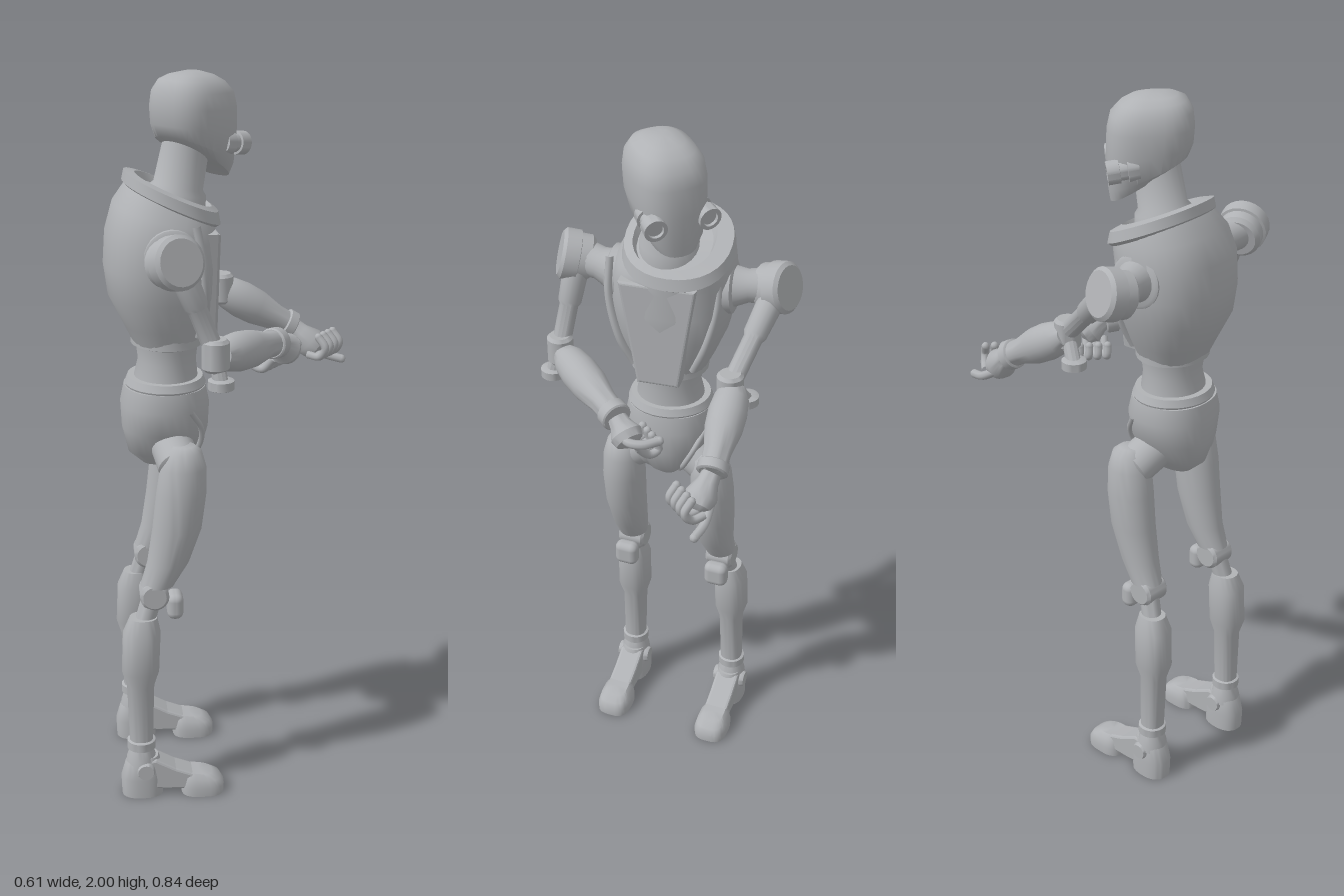
import * as THREE from 'three';
import { toCreasedNormals } from 'three/addons/utils/BufferGeometryUtils.js';
import { RoundedBoxGeometry } from 'three/addons/geometries/RoundedBoxGeometry.js';

const grey = new THREE.MeshStandardMaterial({ color: 0xb0b2b5 });
grey.name = 'grey metal';
const V = (p) => new THREE.Vector3(...p);

function add(parent, name, geo) {
  const mesh = new THREE.Mesh(geo, grey);
  mesh.name = name;
  parent.add(mesh);
  return mesh;
}

function addGroup(parent, name) {
  const group = new THREE.Group();
  group.name = name;
  parent.add(group);
  return group;
}

// Closed skin over superelliptic rings [y, cx, cz, halfWidth, halfDepth, tilt], bottom to top
function loft(parent, name, rings, power = 2, seg = 32) {
  const first = rings[0], last = rings[rings.length - 1];
  const close = (r) => [r[0], r[1], r[2], 0.0005, 0.0005, 0];
  const all = [close(first), ...rings, close(last)];
  const pos = [], idx = [];
  const pw = (v) => Math.sign(v) * Math.abs(v) ** (2 / power);
  for (const [y, cx, cz, a, b, tilt = 0] of all)
    for (let i = 0; i <= seg; i++) {
      const t = (i % seg) / seg * Math.PI * 2;
      const s = pw(Math.sin(t)), c = pw(Math.cos(t));
      pos.push(cx + a * s, y + tilt * c, cz + b * c);
    }
  for (let r = 0; r < all.length - 1; r++)
    for (let i = 0; i < seg; i++) {
      const a = r * (seg + 1) + i, d = a + seg + 1;
      idx.push(a, a + 1, d, a + 1, d + 1, d);
    }
  const geo = new THREE.BufferGeometry();
  geo.setAttribute('position', new THREE.Float32BufferAttribute(pos, 3));
  geo.setIndex(idx);
  return add(parent, name, toCreasedNormals(geo, 0.7));
}

// Turned part from point a to point b, profile [fraction, radius]
function limb(parent, name, a, b, profile, seg = 24) {
  const A = V(a), dir = V(b).sub(A), len = dir.length();
  const pts = profile.map(([t, r]) => new THREE.Vector2(r, t * len));
  pts.unshift(new THREE.Vector2(0, pts[0].y));
  pts.push(new THREE.Vector2(0, pts[pts.length - 1].y));
  const mesh = add(parent, name, toCreasedNormals(new THREE.LatheGeometry(pts, seg), 0.7));
  mesh.position.copy(A);
  mesh.quaternion.setFromUnitVectors(new THREE.Vector3(0, 1, 0), dir.normalize());
  return mesh;
}
const drum = (r, bevel = 0.008) => [[0, r - bevel], [0.1, r], [0.9, r], [1, r - bevel]];

function tube(parent, name, points, r) {
  const curve = new THREE.CatmullRomCurve3(points.map(V));
  return add(parent, name, new THREE.TubeGeometry(curve, 16, r, 8));
}

function finger(parent, name, points, r) {
  tube(parent, name, points, r);
  add(parent, name + 'Tip', new THREE.SphereGeometry(r, 8, 6)).position.copy(V(points[points.length - 1]));
}

function buildTorso(body) {
  // Back bulges out below the collar, front stays nearly upright
  loft(body, 'torso', [
    [1.29, 0, -0.008, 0.1, 0.088], [1.34, 0.003, -0.012, 0.122, 0.108], [1.42, 0.006, -0.02, 0.153, 0.14],
    [1.5, 0.01, -0.022, 0.168, 0.148], [1.58, 0.012, -0.02, 0.168, 0.144, -0.01], [1.63, 0.02, -0.008, 0.158, 0.134, -0.035],
    [1.665, 0.03, 0.012, 0.136, 0.114, -0.055],
  ], 2.3);
  loft(body, 'collar', [
    [1.65, 0.032, 0.014, 0.138, 0.118, -0.055], [1.66, 0.032, 0.014, 0.15, 0.129, -0.058],
    [1.69, 0.032, 0.014, 0.144, 0.123, -0.055], [1.695, 0.022, 0.018, 0.11, 0.1, -0.045], [1.675, 0.022, 0.018, 0.1, 0.09, -0.04],
  ], 2.2);
  limb(body, 'neck', [0.008, 1.62, 0.012], [0.01, 1.86, 0.06], [[0, 0.085], [0.3, 0.078], [0.36, 0.066], [1, 0.06]]);
  // Chest plate narrowing downwards
  const bib = new THREE.Shape([[-0.052, 1.3], [0.052, 1.3], [0.098, 1.59], [-0.098, 1.59]].map((p) => new THREE.Vector2(...p)));
  add(body, 'chestPlate', new THREE.ExtrudeGeometry(bib, { depth: 0.045, bevelSize: 0.008, bevelThickness: 0.008, bevelSegments: 3 })).position.z = 0.07;
  // Waist, belt and pelvis
  limb(body, 'torsoRim', [0, 1.285, -0.005], [0, 1.315, -0.005], drum(0.108)).scale.z = 0.9;
  loft(body, 'waist', [[1.17, 0, -0.01, 0.1, 0.09], [1.24, 0, -0.005, 0.086, 0.078], [1.3, 0, -0.005, 0.095, 0.085]]);
  loft(body, 'belt', [[1.165, 0, -0.01, 0.116, 0.106], [1.175, 0, -0.01, 0.12, 0.11], [1.195, 0, -0.01, 0.112, 0.102]]);
  loft(body, 'pelvis', [
    [0.945, 0, -0.012, 0.035, 0.06], [0.98, 0, -0.012, 0.065, 0.1], [1.05, 0, -0.012, 0.11, 0.117],
    [1.12, 0, -0.012, 0.128, 0.12], [1.17, 0, -0.012, 0.118, 0.11],
  ], 2.2);
  for (const s of [1, -1]) {
    tube(body, 'torsoSeam', [[s * 0.148, 1.63, 0.05], [s * 0.148, 1.52, 0.07], [s * 0.118, 1.4, 0.08], [s * 0.083, 1.32, 0.066]], 0.011);
    tube(body, 'pelvisSeam', [[s * 0.116, 1.12, 0.04], [s * 0.088, 1.06, 0.074], [s * 0.058, 1.0, 0.07], [s * 0.035, 0.955, 0.03]], 0.008);
  }
}

function buildHead(root) {
  const head = addGroup(root, 'head');
  head.position.set(0.035, 0, 0.075);
  head.rotation.y = Math.PI - 0.08;
  loft(head, 'skull', [
    [1.77, 0, 0.015, 0.068, 0.088, -0.055], [1.795, 0, 0.003, 0.086, 0.105, -0.048], [1.85, 0, 0, 0.096, 0.113, -0.022],
    [1.91, 0, -0.002, 0.098, 0.114, -0.006], [1.95, 0, -0.004, 0.092, 0.107, -0.006], [1.978, 0, -0.008, 0.074, 0.086, -0.006],
    [1.992, 0, -0.01, 0.05, 0.06, -0.003], [2, 0, -0.012, 0.022, 0.026],
  ], 2.6);
  for (const s of [1, -1])
    limb(head, 'eye', [s * 0.068, 1.82, 0.03], [s * 0.075, 1.808, 0.112],
      [[0, 0.03], [0.35, 0.032], [0.36, 0.025], [0.6, 0.025], [0.61, 0.031], [1, 0.031], [1, 0.021], [0.9, 0.02]]);
}

function buildLeg(legs, s) {
  const leg = addGroup(legs, s > 0 ? 'leftLeg' : 'rightLeg');
  limb(leg, 'hipJoint', [s * 0.05, 1.02, 0], [s * 0.14, 0.97, 0.02], drum(0.058, 0.015));
  loft(leg, 'thigh', [
    [0.635, s * 0.14, -0.045, 0.043, 0.046], [0.7, s * 0.136, -0.015, 0.05, 0.057], [0.8, s * 0.137, 0.01, 0.058, 0.067],
    [0.9, s * 0.136, 0.022, 0.061, 0.068], [0.975, s * 0.133, 0.028, 0.058, 0.062], [1.02, s * 0.132, 0.03, 0.046, 0.048],
    [1.035, s * 0.132, 0.03, 0.028, 0.03],
  ]);
  // Knee hinge, pad and link
  limb(leg, 'kneeHinge', [s * 0.1, 0.61, -0.054], [s * 0.18, 0.61, -0.054], drum(0.04));
  add(leg, 'kneePad', new RoundedBoxGeometry(0.07, 0.074, 0.045, 3, 0.02)).position.set(s * 0.143, 0.575, 0.003);
  limb(leg, 'kneeLink', [s * 0.145, 0.6, -0.06], [s * 0.157, 0.5, -0.09], [[0, 0.028], [1, 0.028]]);
  loft(leg, 'shin', [
    [0.15, s * 0.163, -0.095, 0.032, 0.032], [0.34, s * 0.16, -0.095, 0.035, 0.038], [0.385, s * 0.16, -0.095, 0.048, 0.052],
    [0.5, s * 0.158, -0.09, 0.048, 0.052], [0.545, s * 0.156, -0.085, 0.034, 0.038],
  ], 2.3);
  limb(leg, 'ankleRing', [s * 0.163, 0.142, -0.095], [s * 0.163, 0.172, -0.095], drum(0.04, 0.005));
  limb(leg, 'ankle', [s * 0.163, 0.09, -0.095], [s * 0.163, 0.15, -0.095], [[0, 0.045], [0.4, 0.042], [1, 0.03]]);
  limb(leg, 'anklePivot', [s * 0.163 - 0.05, 0.085, -0.085], [s * 0.163 + 0.05, 0.085, -0.085], drum(0.026, 0.004));
  // Foot: rounded heel, sloping instep and toe box
  loft(leg, 'heel', [[0, s * 0.163, -0.093, 0.043, 0.058], [0.055, s * 0.163, -0.093, 0.044, 0.06],
    [0.1, s * 0.163, -0.09, 0.041, 0.05], [0.12, s * 0.163, -0.088, 0.034, 0.04]], 2.4);
  const side = new THREE.Shape([[-0.1, 0.03], [-0.1, 0.112], [-0.055, 0.115], [0, 0.085], [0.06, 0.062],
    [0.055, 0.02], [-0.03, 0.022]].map((p) => new THREE.Vector2(...p)));
  const instep = new THREE.ExtrudeGeometry(side, { depth: 0.056, bevelSize: 0.006, bevelThickness: 0.008, bevelSegments: 2, bevelOffset: -0.006 });
  instep.translate(0, 0, -0.028).rotateY(-Math.PI / 2);
  add(leg, 'instep', instep).position.x = s * 0.163;
  loft(leg, 'toeBox', [[0, s * 0.163, 0.077, 0.05, 0.06], [0.025, s * 0.163, 0.077, 0.051, 0.061],
    [0.05, s * 0.163, 0.074, 0.045, 0.053, -0.006], [0.064, s * 0.163, 0.066, 0.033, 0.038, -0.006]], 3);
}

function buildShoulder(body, s) {
  const x = (d) => 0.008 + s * d, lift = s > 0 ? 0 : 0.012;
  limb(body, 'shoulderSocket', [x(0.125), 1.55, -0.012], [x(0.172), 1.552, -0.014], drum(0.073));
  limb(body, 'shoulderStub', [x(0.15), 1.552, -0.012], [x(0.26), 1.558 + lift, -0.03], [[0, 0.062], [0.5, 0.045], [1, 0.05]]);
  limb(body, 'shoulderDrum', [x(0.235), 1.546 + lift, -0.045], [x(0.318), 1.568 + lift, -0.016],
    [[0, 0.052], [0.12, 0.063], [0.45, 0.063], [0.47, 0.07], [0.9, 0.07], [1, 0.06]]);
}

// Arm below the shoulder, posed by its joints
function buildArm(root, name, p) {
  const arm = addGroup(root, name);
  const at = (a, b, t) => V(a).lerp(V(b), t).toArray();
  const [ex, ey, ez] = p.elbow;
  limb(arm, 'upperArm', p.shoulder, p.elbow, [[0, 0.036], [0.4, 0.032], [0.45, 0.026], [1, 0.026]], 16);
  limb(arm, 'elbow', [ex, ey - 0.045, ez], [ex, ey + 0.04, ez], drum(0.036));
  limb(arm, 'elbowLink', p.elbow, p.pad, [[0, 0.02], [1, 0.02]], 12);
  limb(arm, 'elbowPad', [p.pad[0], p.pad[1] - 0.012, p.pad[2]], [p.pad[0], p.pad[1] + 0.016, p.pad[2]], drum(0.034, 0.006));
  limb(arm, 'forearm', p.foreStart, p.wrist, [[0, 0.032], [0.12, 0.046], [0.3, 0.052], [0.5, 0.05], [0.75, 0.037], [1, 0.034]]);
  limb(arm, 'wristCuff', at(p.foreStart, p.wrist, 0.88), p.wrist, drum(0.042, 0.004));
  limb(arm, 'palm', p.wrist, p.palm, [[0, 0.026], [0.3, 0.03], [0.7, 0.044], [1, 0.038], [1.15, 0.018]]);
  for (let i = 0; i < 4; i++)
    finger(arm, 'finger', p.finger.map(([x, y, z]) => [x, y, z + i * 0.026]), 0.0115);
  finger(arm, 'thumb', p.thumb, 0.0125);
}

export function createModel() {
  const root = new THREE.Group();
  root.name = 'robot';
  const body = addGroup(root, 'body');
  body.position.set(-0.007, 0, 0.134);
  body.rotation.y = Math.PI * 0.75;
  buildTorso(body);
  buildHead(root);
  // Stance turned slightly, left leg ahead
  const legs = addGroup(body, 'legs');
  legs.rotation.y = -0.09;
  for (const s of [1, -1]) {
    buildLeg(legs, s);
    buildShoulder(body, s);
  }
  buildArm(root, 'leftArm', {
    shoulder: [-0.2, 1.535, -0.07], elbow: [-0.03, 1.37, -0.15], pad: [-0.088, 1.3, -0.138],
    foreStart: [-0.04, 1.365, -0.155], wrist: [0.115, 1.24, -0.305], palm: [0.175, 1.18, -0.335],
    finger: [[0.175, 1.17, -0.37], [0.212, 1.17, -0.372], [0.232, 1.198, -0.37], [0.21, 1.228, -0.368]],
    thumb: [[0.14, 1.18, -0.345], [0.18, 1.15, -0.38], [0.222, 1.138, -0.402]],
  });
  buildArm(root, 'rightArm', {
    shoulder: [0.175, 1.54, 0.325], elbow: [0.25, 1.335, 0.288], pad: [0.272, 1.258, 0.295],
    foreStart: [0.25, 1.325, 0.265], wrist: [0.24, 1.285, -0.025], palm: [0.235, 1.245, -0.085],
    finger: [[0.225, 1.235, -0.108], [0.19, 1.2, -0.108], [0.162, 1.205, -0.105], [0.165, 1.235, -0.103]],
    thumb: [[0.25, 1.26, -0.06], [0.25, 1.26, -0.108], [0.222, 1.26, -0.134], [0.178, 1.262, -0.142]],
  });
  return root;
}
